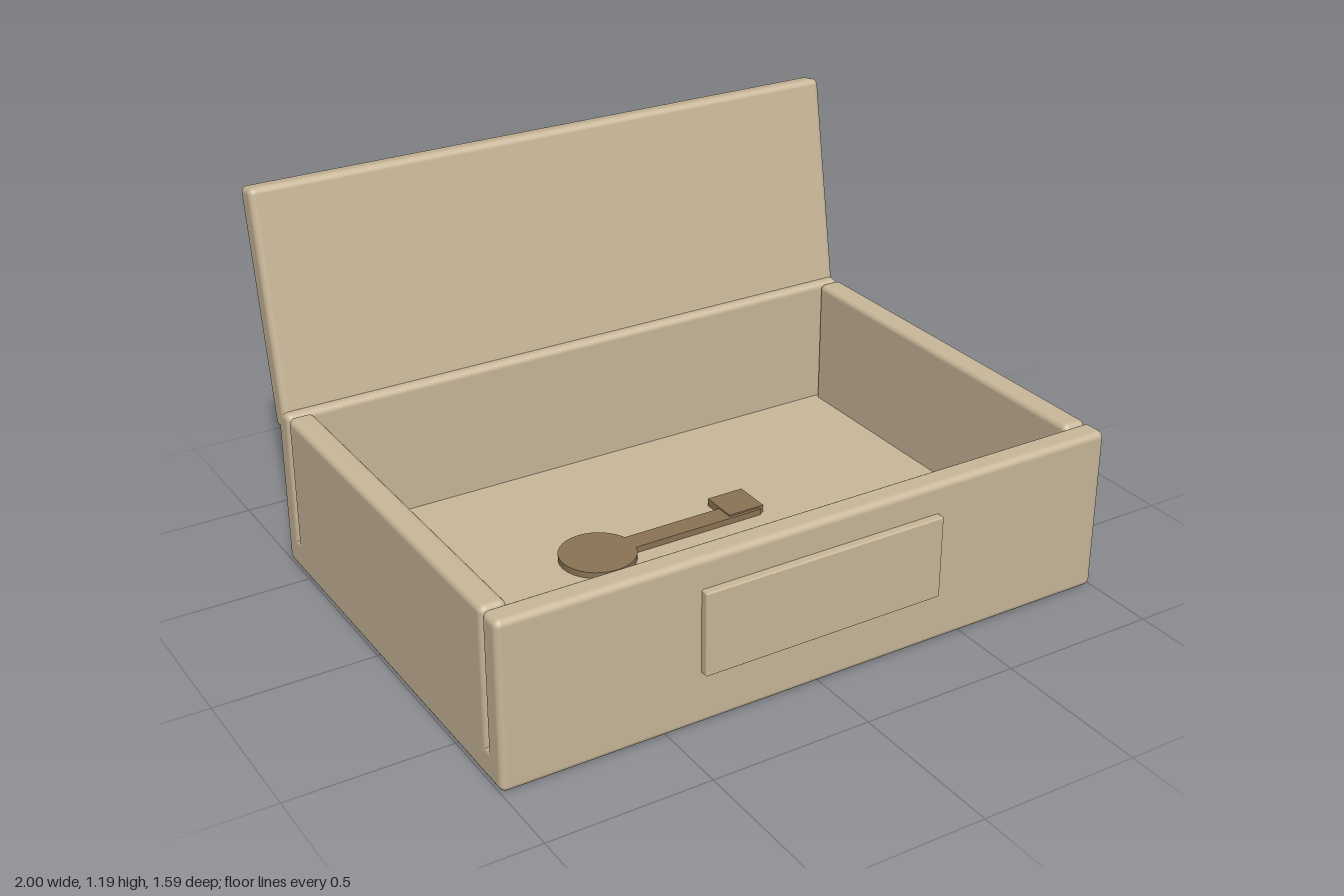
import * as THREE from 'three';
import { RoundedBoxGeometry } from 'three/addons/geometries/RoundedBoxGeometry.js';

export function createModel() {
  const group = new THREE.Group();
  group.name = 'openBox';

  const card = new THREE.MeshStandardMaterial({ color: 0xc8b799 });
  card.name = 'cardboard';
  const bronze = new THREE.MeshStandardMaterial({ color: 0x8b7355 });
  bronze.name = 'keyBrown';

  const add = (name, geometry, material, x, y, z) => {
    const mesh = new THREE.Mesh(geometry, material);
    mesh.name = name;
    mesh.position.set(x, y, z);
    group.add(mesh);
    return mesh;
  };
  // Softly rounded panel given by its limits on each axis
  const panel = (name, [x0, x1], [y0, y1], [z0, z1], radius = 0.02) =>
    add(name, new RoundedBoxGeometry(x1 - x0, y1 - y0, z1 - z0, 3, radius), card,
      (x0 + x1) / 2, (y0 + y1) / 2, (z0 + z1) / 2);

  // Tray: base and four walls sunk into it
  panel('base', [-1, 1], [0, 0.1], [-0.65, 0.77]);
  panel('frontWall', [-1, 1], [0.03, 0.52], [0.69, 0.77]);
  panel('backWall', [-1, 1], [0.03, 0.52], [-0.65, -0.57]);
  for (const [name, s] of [['leftWall', 1], ['rightWall', -1]]) {
    panel(name, [s * 0.96 - 0.04, s * 0.96 + 0.04], [0.03, 0.52], [-0.568, 0.688]);
  }

  // Raised plate on the front
  panel('frontPlate', [-0.393, 0.393], [0.165, 0.425], [0.76, 0.795], 0.005);

  // Lid leaning back on its hinge edge
  const lid = add('lid', new RoundedBoxGeometry(2, 0.74, 0.08, 3, 0.02), card, 0, 0.818, -0.694);
  lid.rotation.x = -THREE.MathUtils.degToRad(10);

  // Key lying on the floor
  add('keyBow', new THREE.CylinderGeometry(0.12, 0.12, 0.03, 32), bronze, -0.275, 0.105, 0);
  add('keyShaft', new THREE.BoxGeometry(0.47, 0.03, 0.07), bronze, 0.055, 0.105, 0);
  add('keyBit', new THREE.BoxGeometry(0.125, 0.035, 0.125), bronze, 0.2425, 0.1075, -0.0375);

  return group;
}
